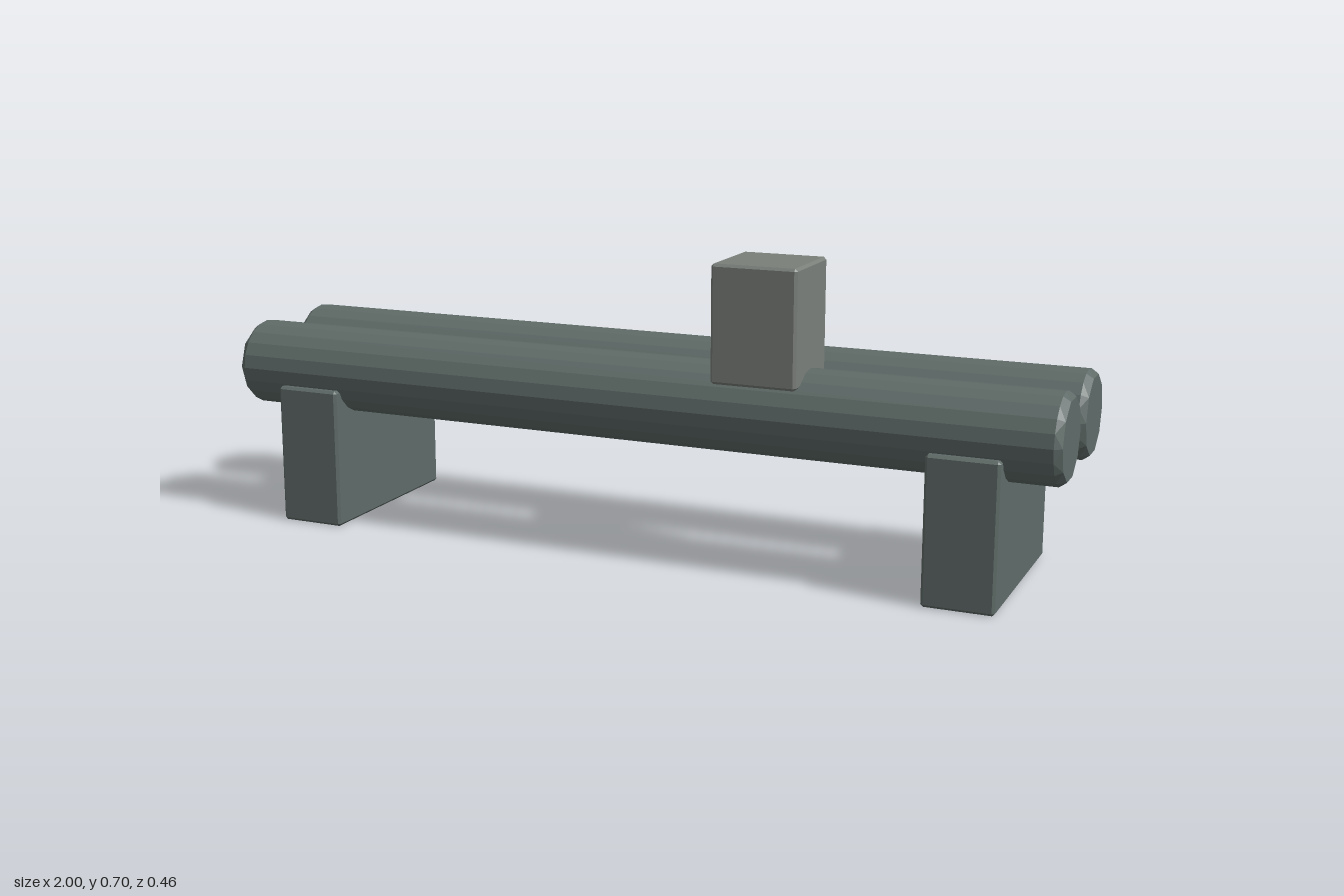
import * as THREE from 'three';
import { ConvexGeometry } from 'three/addons/geometries/ConvexGeometry.js';

const wood = new THREE.MeshStandardMaterial({ color: 0x5f6b68, flatShading: true });
const stone = new THREE.MeshStandardMaterial({ color: 0x7a7f7a, flatShading: true });

// Box with every edge cut by a small chamfer
function chamferedBox(w, h, d, c) {
  const points = [];
  for (const sx of [-1, 1]) for (const sy of [-1, 1]) for (const sz of [-1, 1]) {
    for (let axis = 0; axis < 3; axis++) {
      const p = [w / 2 - c, h / 2 - c, d / 2 - c];
      p[axis] += c;
      points.push(new THREE.Vector3(sx * p[0], sy * p[1], sz * p[2]));
    }
  }
  return new ConvexGeometry(points);
}

// Log along x: 20-sided body narrowing to 10-sided end faces
function logGeometry(length, radius, capRadius, bevel) {
  const points = [];
  const ring = (x, r, sides) => {
    for (let i = 0; i < sides; i++) {
      const a = (i / sides) * Math.PI * 2;
      points.push(new THREE.Vector3(x, r * Math.sin(a), r * Math.cos(a)));
    }
  };
  for (const s of [-1, 1]) {
    ring(s * (length / 2 - bevel), radius, 20);
    ring((s * length) / 2, capRadius, 10);
  }
  return new ConvexGeometry(points);
}

export function createModel() {
  const model = new THREE.Group();
  model.name = 'logBench';

  const add = (name, geometry, material, x, y, z) => {
    const mesh = new THREE.Mesh(geometry, material);
    mesh.name = name;
    mesh.position.set(x, y, z);
    model.add(mesh);
  };

  // Two parallel logs form the seat
  const log = logGeometry(2, 0.101, 0.09, 0.016);
  add('frontLog', log, wood, 0, 0.368, 0.121);
  add('backLog', log, wood, 0, 0.368, -0.119);

  // Block supports under both ends
  const support = chamferedBox(0.16, 0.333, 0.464, 0.006);
  add('leftSupport', support, wood, 0.8, 0.1665, 0);
  add('rightSupport', support, wood, -0.8, 0.1665, 0);

  // Small block resting on the front log
  add('topBlock', chamferedBox(0.196, 0.264, 0.198, 0.006), stone, 0.332, 0.568, 0.121);

  return model;
}
